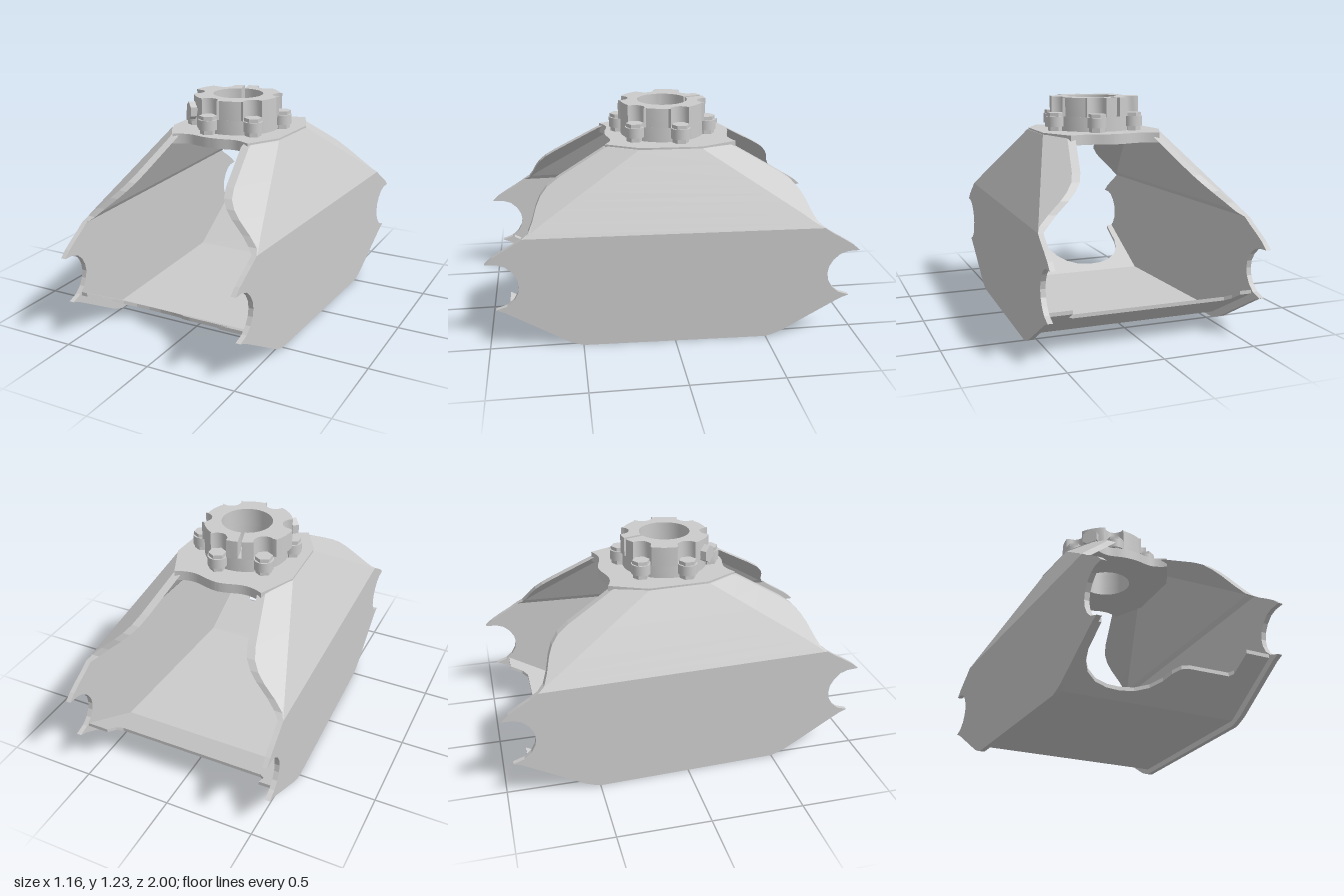
import * as THREE from 'three';
import { toCreasedNormals } from 'three/addons/utils/BufferGeometryUtils.js';

const mat = new THREE.MeshStandardMaterial({ color: 0xcccccc });
const flat = new THREE.MeshStandardMaterial({ color: 0xcccccc, flatShading: true });
const BEND = 0.63; // height of the fold in the side panels
const wallX = z => 0.545 - 0.037 * z; // side walls converge towards the front
const rad = THREE.MathUtils.degToRad;
const polar = (r, deg) => new THREE.Vector2(r * Math.cos(rad(deg)), r * Math.sin(rad(deg)));

function add(group, name, geometry, material = mat) {
  const mesh = new THREE.Mesh(geometry, material);
  mesh.name = name;
  group.add(mesh);
  return mesh;
}

// Plan outline (x, -z) extruded upwards from height y
function slab(shape, y, height) {
  const g = new THREE.ExtrudeGeometry(shape, { depth: height, bevelEnabled: false, curveSegments: 40 });
  return g.rotateX(-Math.PI / 2).translate(0, y, 0);
}

// Panel silhouette: height, half length
const PROFILE = [
  [0, 0.5], [0.012, 0.54], [0.03, 0.585], [0.07, 0.655], [0.17, 0.83], [0.215, 0.91], [0.232, 0.955],
  [0.24, 0.93], [0.252, 0.895], [0.285, 0.857], [0.325, 0.835], [0.365, 0.828], [0.405, 0.835],
  [0.445, 0.858], [0.478, 0.895], [0.492, 0.935], [0.495, 1], [0.53, 0.96], [0.565, 0.905], [0.6, 0.845],
  [0.63, 0.8], [0.655, 0.767], [0.7, 0.743], [0.76, 0.72], [0.8, 0.697], [0.84, 0.66], [0.88, 0.6],
  [0.95, 0.475], [1.02, 0.35], [1.03, 0.325],
];

// Side panel: vertical wall, inclined upper face and two folded corner faces
function sidePanel(side) {
  const outer = [], inner = [];
  for (const [y, h] of PROFILE) {
    const up = Math.max(0, y - BEND);
    const crease = Math.min(0.8 - 1.575 * up, h * 0.985);
    const rowO = [], rowI = [];
    [-h, -crease, crease, h].forEach((z, j) => {
      const corner = 0.204 + 0.55 * (Math.abs(z) - 0.17) - 1.376 * (1.03 - y);
      const x = wallX(z) - (up > 0 ? Math.max(0.51 * up, corner) : 0);
      const t = up > 0.02 ? (j % 3 ? 0.032 : 0.045) : 0.027;
      rowO.push([side * x, y, z]);
      rowI.push([side * (x - t), y, z]);
    });
    outer.push(rowO);
    inner.push(rowI);
  }
  const pos = [];
  const tri = (a, b, c) => pos.push(...a, ...(side > 0 ? b : c), ...(side > 0 ? c : b));
  const quad = (a, b, c, d) => { tri(a, b, c); tri(a, c, d); };
  const n = PROFILE.length - 1;
  for (let i = 0; i < n; i++) {
    for (let j = 0; j < 3; j++) {
      quad(outer[i][j], outer[i + 1][j], outer[i + 1][j + 1], outer[i][j + 1]);
      quad(inner[i][j], inner[i][j + 1], inner[i + 1][j + 1], inner[i + 1][j]);
    }
  }
  // Rim
  const loop = [];
  for (let i = 0; i <= n; i++) loop.push([i, 0]);
  loop.push([n, 1], [n, 2]);
  for (let i = n; i >= 0; i--) loop.push([i, 3]);
  loop.push([0, 2], [0, 1]);
  loop.forEach(([i, j], k) => {
    const [p, q] = loop[(k + 1) % loop.length];
    quad(outer[p][q], outer[i][j], inner[i][j], inner[p][q]);
  });
  const g = new THREE.BufferGeometry();
  g.setAttribute('position', new THREE.Float32BufferAttribute(pos, 3));
  g.computeVertexNormals();
  return g;
}

// Floor section from (x, z) corners, tilted up beyond the bend lines
function floorPlate(points) {
  const g = slab(new THREE.Shape(points.map(([x, z]) => new THREE.Vector2(x, -z))), 0, 0.02);
  const p = g.attributes.position;
  for (let i = 0; i < p.count; i++) {
    p.setY(i, p.getY(i) + 0.03 + 0.553 * Math.max(0, Math.abs(p.getZ(i)) - 0.5));
  }
  g.computeVertexNormals();
  return g;
}

// Split clamp outline: scooped around six bolts, with a slit to the bore
function clampShape() {
  const pts = [], start = 106;
  const gapR = [0.245, 0.265, 0.25, 0.235, 0.235, 0.235];
  for (let k = 0; k <= 6; k++) {
    const gap = start + 60 * k, r = gapR[k % 6];
    if (k > 0) pts.push(polar(r, gap - 15), polar(r, gap - 8));
    pts.push(polar(r, k === 0 ? gap + 2.5 : k === 6 ? gap - 2.5 : gap));
    if (k === 6) break;
    pts.push(polar(r, gap + 8), polar(r, gap + 15));
    const bolt = polar(0.25, gap + 30);
    for (let d = 100; d <= 260; d += 16) pts.push(polar(0.055, gap + 30 - d).add(bolt));
  }
  for (let i = 0; i <= 48; i++) pts.push(polar(0.14, start - 4 - i * 352 / 48));
  return new THREE.Shape(pts);
}

export function createModel() {
  const model = new THREE.Group();
  model.name = 'mountingBracket';

  add(model, 'leftPanel', sidePanel(1), flat);
  add(model, 'rightPanel', sidePanel(-1), flat);

  // Floor
  const edge = z => wallX(z) - 0.02;
  const floor = new THREE.Group();
  floor.name = 'floor';
  model.add(floor);
  add(floor, 'floorBase', floorPlate([[-edge(0.5), 0.5], [edge(0.5), 0.5], [edge(-0.5), -0.5], [-edge(-0.5), -0.5]]), flat);
  add(floor, 'floorBack', floorPlate([
    [-edge(-0.5), -0.5], [edge(-0.5), -0.5], [edge(-0.88), -0.88], [0.43, -0.88], [0.425, -0.81], [0.395, -0.78],
    [-0.45, -0.78], [-0.48, -0.81], [-0.485, -0.88], [-edge(-0.88), -0.88],
  ]), flat);
  add(floor, 'floorFront', floorPlate([
    [-edge(0.5), 0.5], [-edge(0.88), 0.88], [-0.45, 0.88], [-0.45, 0.74], [-0.435, 0.68], [-0.4, 0.625],
    [-0.34, 0.582], [-0.27, 0.562], [-0.2, 0.558], [-0.12, 0.568], [-0.05, 0.6], [0, 0.65], [0.025, 0.695],
    [0.06, 0.73], [0.1, 0.74], [0.33, 0.742], [0.35, 0.76], [0.35, 0.88], [edge(0.88), 0.88], [edge(0.5), 0.5],
  ]), flat);

  // Top plate with wavy front and back edges
  const plate = new THREE.Shape();
  plate.moveTo(-0.23, -0.34);
  plate.bezierCurveTo(-0.12, -0.27, -0.1, -0.33, 0, -0.325);
  plate.bezierCurveTo(0.1, -0.33, 0.12, -0.27, 0.23, -0.34);
  plate.lineTo(0.33, -0.16);
  plate.lineTo(0.345, 0.17);
  plate.lineTo(0.255, 0.37);
  plate.bezierCurveTo(0.13, 0.31, 0.1, 0.37, 0, 0.375);
  plate.bezierCurveTo(-0.1, 0.37, -0.13, 0.31, -0.255, 0.37);
  plate.lineTo(-0.345, 0.17);
  plate.lineTo(-0.33, -0.16);
  const bore = new THREE.Path();
  bore.absarc(0, 0, 0.14, 0, Math.PI * 2, true);
  plate.holes.push(bore);
  add(model, 'topPlate', toCreasedNormals(slab(plate, 0.985, 0.055), 0.5));

  // Clamp collar on a bolted flange
  const clamp = new THREE.Group();
  clamp.name = 'clamp';
  model.add(clamp);
  const ring = new THREE.Shape();
  ring.absarc(0, 0, 0.235, 0, Math.PI * 2, false);
  ring.holes.push(bore);
  add(clamp, 'flange', toCreasedNormals(slab(ring, 1.04, 0.08), 0.5));
  add(clamp, 'collar', toCreasedNormals(slab(clampShape(), 1.12, 0.105), 0.6));
  for (let k = 0; k < 6; k++) {
    const p = polar(0.25, 16 + 60 * k);
    const part = (name, r, y0, y1, sides) => {
      const g = new THREE.CylinderGeometry(r, r, y1 - y0, sides);
      add(clamp, name, g, sides === 6 ? flat : mat).position.set(p.x, (y0 + y1) / 2, -p.y);
    };
    part('flangeLobe', 0.053, 1.065, 1.12, 24);
    part('boltNut', 0.045, 1.04, 1.065, 6);
    part('boltHead', 0.048, 1.12, 1.14, 6);
  }

  // Clamping screw, pointing outwards
  const screw = new THREE.Group();
  screw.name = 'clampScrew';
  add(screw, 'screwHead', new THREE.CylinderGeometry(0.05, 0.05, 0.035, 6).rotateX(Math.PI / 2).translate(0, 0, 0.27), flat);
  add(screw, 'screwShank', new THREE.CylinderGeometry(0.035, 0.035, 0.06, 20).rotateX(Math.PI / 2).translate(0, 0, 0.23));
  screw.position.y = 1.145;
  screw.rotation.y = -Math.PI / 4;
  clamp.add(screw);

  return model;
}
